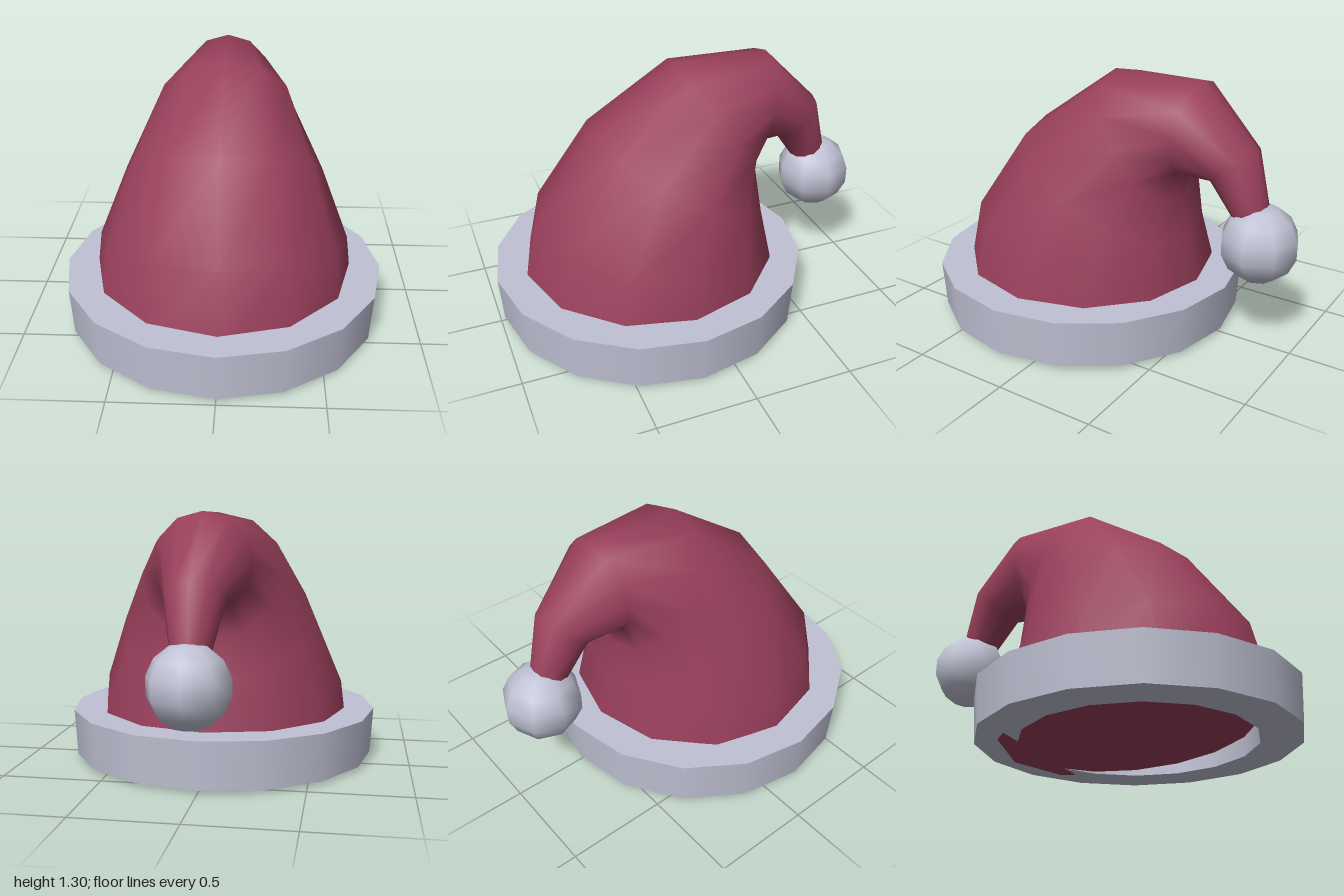
import * as THREE from 'three';

const red = new THREE.MeshStandardMaterial({ color: 0x9a405c });
red.name = 'red felt';
const white = new THREE.MeshStandardMaterial({ color: 0xc0c2d4 });
white.name = 'white fleece';

const SIDES = 12;

// Tilted elliptical rings: front [z, y], rear [z, y], half width in x
const RINGS = [
  [[0.866, 0.15], [-0.5, 0.003], 0.68],
  [[0.77, 0.56], [-0.475, 0.26], 0.64],
  [[0.47, 0.99], [-0.42, 0.49], 0.505],
  [[0.02, 1.3], [-0.38, 0.69], 0.36],
  [[-0.47, 1.305], [-0.4, 0.83], 0.235],
  [[-0.765, 1.01], [-0.55, 0.83], 0.145],
  [[-0.845, 0.7], [-0.68, 0.645], 0.09],
];

function ringPoints([front, rear, w]) {
  const points = [];
  for (let j = 0; j < SIDES; j++) {
    const a = (j / SIDES) * Math.PI * 2;
    const t = (1 - Math.cos(a)) / 2;
    points.push(
      Math.sin(a) * w,
      front[1] + (rear[1] - front[1]) * t,
      front[0] + (rear[0] - front[0]) * t,
    );
  }
  return points;
}

function geometryFrom(positions, index) {
  const g = new THREE.BufferGeometry();
  g.setAttribute('position', new THREE.Float32BufferAttribute(positions, 3));
  g.setIndex(index);
  g.computeVertexNormals();
  return g;
}

function add(parent, geometry, material, name) {
  const mesh = new THREE.Mesh(geometry, material);
  mesh.name = name;
  parent.add(mesh);
  return mesh;
}

export function createModel() {
  const hat = new THREE.Group();
  hat.name = 'floppyHat';

  // Drooping cone, lofted through the rings
  const index = [];
  for (let i = 0; i < RINGS.length - 1; i++) {
    for (let j = 0; j < SIDES; j++) {
      const k = (j + 1) % SIDES;
      const a = i * SIDES + j, b = i * SIDES + k;
      const c = b + SIDES, d = a + SIDES;
      index.push(a, b, c, a, c, d);
    }
  }
  add(hat, geometryFrom(RINGS.flatMap(ringPoints), index), red, 'cone');

  // Flat underside closing the cone
  const fan = [];
  for (let j = 1; j < SIDES - 1; j++) fan.push(0, j + 1, j);
  add(hat, geometryFrom(ringPoints(RINGS[0]), fan), red, 'coneUnderside');

  // Brim band: one lathe per profile edge keeps the corners sharp
  const brim = new THREE.Group();
  brim.name = 'brim';
  brim.position.z = 0.18;
  hat.add(brim);
  const profile = [[0.8, 0.02], [0.815, 0.26], [0.6, 0.26], [0.59, 0.02]]
    .map(([r, y]) => new THREE.Vector2(r, y));
  ['brimOuter', 'brimTop', 'brimInner', 'brimBottom'].forEach((name, i) => {
    add(brim, new THREE.LatheGeometry([profile[i], profile[(i + 1) % 4]], 16), white, name);
  });

  // Pompom at the tip
  add(hat, new THREE.SphereGeometry(0.197, 8, 7), white, 'pompom').position.set(0, 0.552, -0.805);

  return hat;
}
